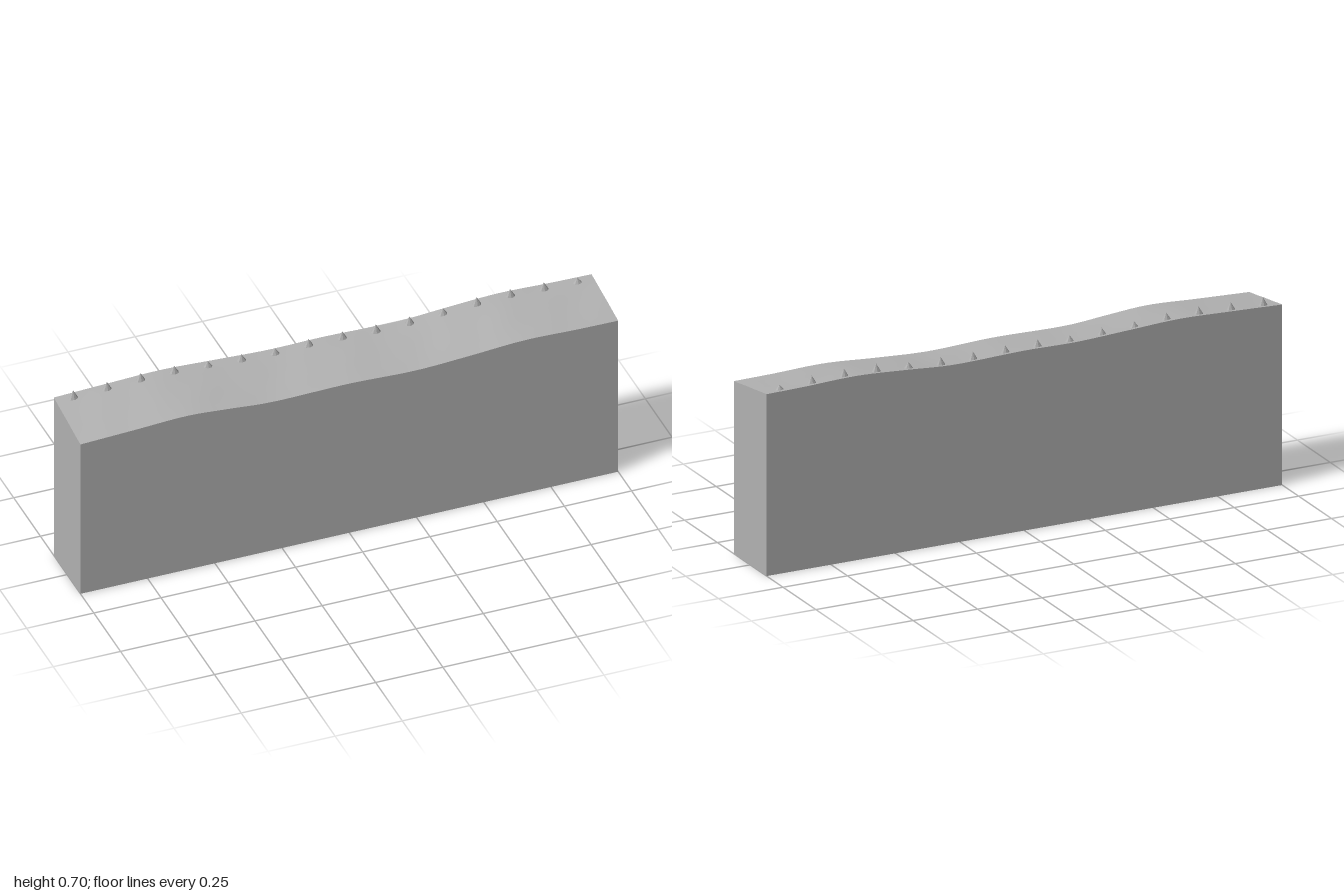
import * as THREE from 'three';

// Smooth curves through heights along the front and back top edges: x, y
const edge = (pts) => {
  const curve = new THREE.CatmullRomCurve3(
    pts.map(([x, y]) => new THREE.Vector3(x, y, 0)), false, 'centripetal');
  const samples = curve.getPoints(200);
  return (x) => {
    let i = 1;
    while (i < samples.length - 1 && samples[i].x < x) i++;
    const a = samples[i - 1], b = samples[i];
    return a.y + (b.y - a.y) * THREE.MathUtils.clamp((x - a.x) / (b.x - a.x), 0, 1);
  };
};
const frontEdge = edge([[-1, 0.629], [-0.8, 0.638], [-0.6, 0.647], [-0.45, 0.637],
  [-0.3, 0.625], [0, 0.628], [0.25, 0.62], [0.45, 0.63], [0.65, 0.643], [0.85, 0.638], [1, 0.636]]);
const backEdge = edge([[-1, 0.665], [-0.8, 0.673], [-0.6, 0.679], [-0.4, 0.67],
  [-0.2, 0.661], [0, 0.663], [0.28, 0.657], [0.45, 0.668], [0.65, 0.679], [0.85, 0.673], [1, 0.67]]);

// Sloping top surface with faint diagonal ripples
function topHeight(x, z) {
  const t = (0.125 - z) / 0.25;
  const ripple = 0.0012 * Math.sin(23 * x + 30 * z) * Math.sin(11 * x - 17 * z + 1);
  return frontEdge(x) * (1 - t) + backEdge(x) * t + ripple * Math.sin(Math.PI * t);
}

export function createModel() {
  const model = new THREE.Group();
  const stone = new THREE.MeshStandardMaterial({ color: 0xb2b2b2 });
  stone.name = 'grey stone';

  // Wall block whose top vertices follow the wavy surface
  const wallGeometry = new THREE.BoxGeometry(2, 1, 0.25, 64, 1, 8);
  const p = wallGeometry.attributes.position;
  for (let i = 0; i < p.count; i++) {
    p.setY(i, p.getY(i) > 0 ? topHeight(p.getX(i), p.getZ(i)) : 0);
  }
  wallGeometry.computeVertexNormals();
  const wall = new THREE.Mesh(wallGeometry, stone);
  wall.name = 'wall';
  model.add(wall);

  // Row of small pointed spikes along the back edge
  const tips = [0.695, 0.698, 0.704, 0.702, 0.69, 0.687, 0.681, 0.687,
    0.686, 0.684, 0.685, 0.687, 0.702, 0.704, 0.7, 0.687];
  const spikes = new THREE.Group();
  spikes.name = 'spikes';
  tips.forEach((tip, i) => {
    const x = -0.9375 + i * 0.125;
    const base = topHeight(x, -0.1) - 0.006;
    const height = tip - base;
    const cone = new THREE.ConeGeometry(0.021, height, 8).toNonIndexed();
    cone.computeVertexNormals();
    const spike = new THREE.Mesh(cone, stone);
    spike.name = 'spike';
    spike.position.set(x, base + height / 2, -0.1);
    spike.scale.z = 0.65;
    spikes.add(spike);
  });
  model.add(spikes);
  return model;
}
